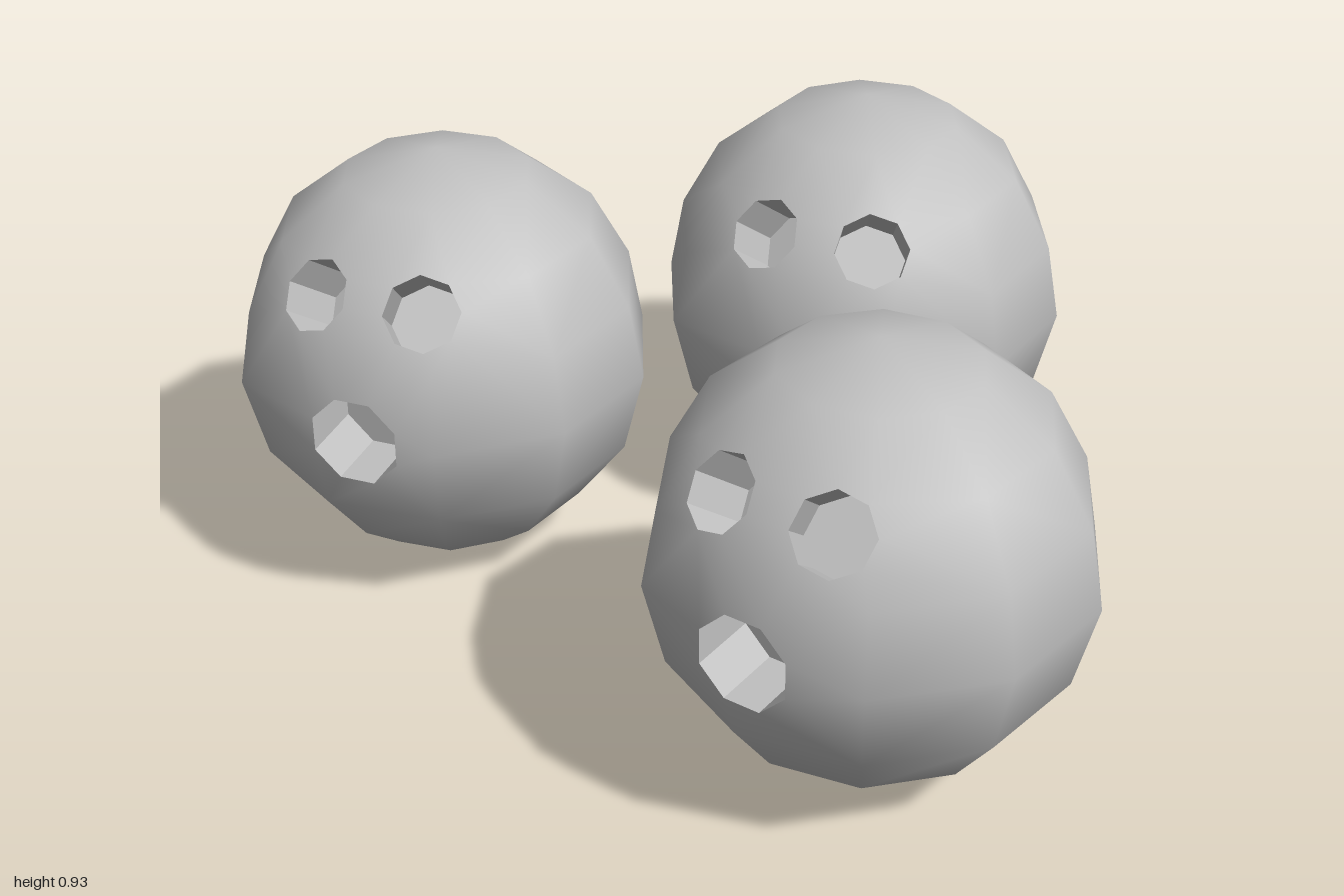
import * as THREE from 'three';
import { ConvexGeometry } from 'three/addons/geometries/ConvexGeometry.js';

const R = 0.455, DEPTH = 0.15, SIDES = 8;
const UP = new THREE.Vector3(0, 1, 0);

// Two finger holes above one larger thumb hole: direction and radius
const HOLES = [
  { name: 'rightFingerHole', dir: [-0.118, 0.265, 0.34], r: 0.08 },
  { name: 'leftFingerHole', dir: [0.118, 0.265, 0.34], r: 0.08 },
  { name: 'thumbHole', dir: [0, 0, 1], r: 0.1 },
].map(({ name, dir, r }) => {
  const d = new THREE.Vector3(...dir).normalize();
  const q = new THREE.Quaternion().setFromUnitVectors(UP, d);
  const h = Math.sqrt(R * R - r * r);
  const rim = [];
  for (let k = 0; k < SIDES; k++) {
    const a = ((k + 0.5) / SIDES) * Math.PI * 2;
    rim.push(new THREE.Vector3(r * Math.sin(a), h, r * Math.cos(a)).applyQuaternion(q));
  }
  return { name, d, q, r, h, rim };
});

// Rings of the ball: [radius, height from centre]
const RINGS = [
  [0.2, 0.411], [0.337, 0.303], [0.42, 0.148], [0.45, -0.017],
  [0.405, -0.2], [0.298, -0.339], [0.195, -0.419],
];

// Distance of a point from a hole's axis, on the hole's side only
function axisDistance(p, hole) {
  const t = p.dot(hole.d);
  return t < 0 ? Infinity : p.clone().addScaledVector(hole.d, -t).length();
}

// Ten-sided smooth ball whose facets meet the hole rims, with the openings left out
function shellGeometry(phase) {
  const points = [new THREE.Vector3(0, 0.464, 0), new THREE.Vector3(0, -0.462, 0)];
  for (const [r, y] of RINGS) {
    for (let k = 0; k < 10; k++) {
      const a = phase + (k / 10) * Math.PI * 2;
      const p = new THREE.Vector3(r * Math.cos(a), y, r * Math.sin(a));
      if (HOLES.every((o) => axisDistance(p, o) > o.r * 1.25)) points.push(p);
    }
  }
  for (const o of HOLES) points.push(...o.rim);

  const hull = new ConvexGeometry(points).getAttribute('position');
  const position = [], normal = [];
  for (let i = 0; i < hull.count; i += 3) {
    const tri = [0, 1, 2].map((j) => new THREE.Vector3().fromBufferAttribute(hull, i + j));
    if (HOLES.some((o) => tri.every((p) => axisDistance(p, o) < o.r * 1.01))) continue;
    for (const p of tri) {
      position.push(p.x, p.y, p.z);
      normal.push(...p.clone().normalize().toArray());
    }
  }
  const g = new THREE.BufferGeometry();
  g.setAttribute('position', new THREE.Float32BufferAttribute(position, 3));
  g.setAttribute('normal', new THREE.Float32BufferAttribute(normal, 3));
  return g;
}

// Faceted cup facing inwards: wall, then floor
function holeGeometry({ r, h, q }) {
  const profile = [[r, h], [r, h - DEPTH], [0, h - DEPTH]].map((p) => new THREE.Vector2(...p));
  const g = new THREE.LatheGeometry(profile, SIDES, Math.PI / SIDES).toNonIndexed();
  g.computeVertexNormals();
  return g.applyQuaternion(q);
}

function createBall(name, x, z, yaw, phase, material) {
  const ball = new THREE.Group();
  ball.name = name;
  const shell = new THREE.Mesh(shellGeometry(THREE.MathUtils.degToRad(phase)), material);
  shell.name = 'shell';
  ball.add(shell);
  for (const o of HOLES) {
    const hole = new THREE.Mesh(holeGeometry(o), material);
    hole.name = o.name;
    ball.add(hole);
  }
  ball.position.set(x, 0.467, z);
  ball.rotation.y = THREE.MathUtils.degToRad(yaw);
  return ball;
}

export function createModel() {
  const grey = new THREE.MeshStandardMaterial({ color: 0xc0c0c0 });
  grey.name = 'grey';
  const model = new THREE.Group();
  model.name = 'bowlingBalls';
  model.add(
    createBall('rightBall', -0.55, 0.05, 0, -3.5, grey),
    createBall('backBall', 0.22, -0.52, 0, -3.5, grey),
    createBall('leftBall', 0.55, 0.5, -15, -11.8, grey),
  );
  return model;
}
